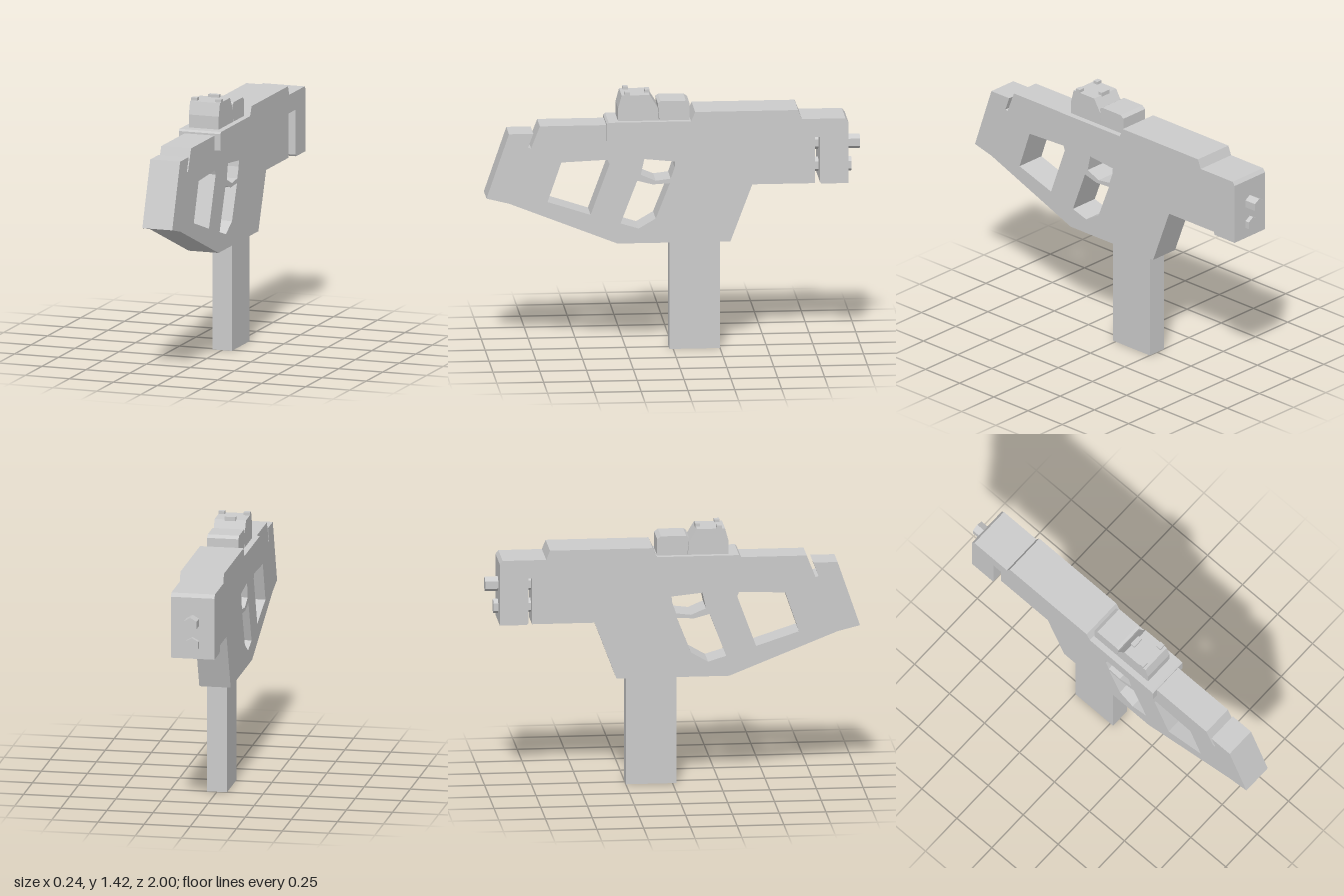
import * as THREE from 'three';

const material = new THREE.MeshStandardMaterial({ color: 0xcccccc, flatShading: true });

const toVectors = (points) => points.map(([z, y]) => new THREE.Vector2(z, y));

// Side profile given as [z, y] points, extruded symmetrically across x
function plate(name, halfWidth, outline, holes = []) {
  const shape = new THREE.Shape(toVectors(outline));
  holes.forEach((hole) => shape.holes.push(new THREE.Path(toVectors(hole))));
  const geometry = new THREE.ExtrudeGeometry(shape, { depth: halfWidth * 2, bevelEnabled: false });
  geometry.translate(0, 0, -halfWidth).rotateY(-Math.PI / 2);
  const mesh = new THREE.Mesh(geometry, material);
  mesh.name = name;
  return mesh;
}

function box(name, [w, h, d], [x, y, z]) {
  const mesh = new THREE.Mesh(new THREE.BoxGeometry(w, h, d), material);
  mesh.position.set(x, y, z);
  mesh.name = name;
  return mesh;
}

// Hexagonal rod along z with a corner pointing up
function rod(name, y, zStart, zEnd) {
  const geometry = new THREE.CylinderGeometry(0.04, 0.04, zStart - zEnd, 6);
  geometry.rotateX(Math.PI / 2);
  const mesh = new THREE.Mesh(geometry, material);
  mesh.position.set(0, y, (zStart + zEnd) / 2);
  mesh.name = name;
  return mesh;
}

export function createModel() {
  const model = new THREE.Group();
  model.name = 'compactGun';

  // Main frame with its three side openings
  const stockOpening = [[0.6, 1.04], [0.353, 1.05], [0.343, 1.025], [0.444, 0.75], [0.674, 0.825]];
  const upperTriggerOpening = [
    [0.157, 1.05], [-0.008, 1.033], [-0.005, 1.0], [0.016, 0.94], [0.096, 0.93], [0.176, 0.964],
  ];
  const lowerTriggerOpening = [
    [0.195, 0.932], [0.112, 0.91], [0.02, 0.915], [0.096, 0.723], [0.187, 0.67], [0.284, 0.7],
  ];
  model.add(plate('frame', 0.085, [
    [1, 0.85], [0.88, 1.2], [0.75, 1.2], [0.778, 1.125], [0.762, 1.12], [0.715, 1.24],
    [-0.755, 1.24], [-0.755, 0.9], [-0.42, 0.9], [-0.303, 0.59], [0.3, 0.59], [0.88, 0.82],
  ], [stockOpening, upperTriggerOpening, lowerTriggerOpening]));

  // Wide upper cover that turns down into the end block
  model.add(plate('upperCover', 0.118, [
    [0.36, 1.16], [0.36, 1.25], [0.35, 1.26], [-0.09, 1.26], [-0.112, 1.31], [-0.662, 1.31],
    [-0.682, 1.26], [-0.915, 1.26], [-0.93, 1.24], [-0.93, 0.905], [-0.785, 0.905],
    [-0.778, 0.915], [-0.778, 1.16],
  ]));

  // Magazine
  model.add(box('magazine', [0.11, 0.6, 0.27], [0, 0.3, -0.115]));

  // Hexagonal rods through the end block
  model.add(rod('barrel', 1.107, -0.74, -1));
  model.add(rod('guideRod', 0.985, -0.74, -0.955));

  // Sight blocks
  model.add(plate('frontSightBlock', 0.085, [
    [0.297, 1.25], [0.297, 1.33], [0.278, 1.4], [0.128, 1.4], [0.085, 1.33], [0.078, 1.25],
  ]));
  model.add(plate('rearSightBlock', 0.085, [
    [0.075, 1.25], [0.085, 1.355], [0.07, 1.365], [-0.065, 1.365], [-0.085, 1.35], [-0.085, 1.25],
  ]));

  // Sighting tabs: two at the outer edges, one in the middle
  for (const side of [-1, 1]) {
    model.add(box(side > 0 ? 'leftSightTab' : 'rightSightTab',
      [0.033, 0.025, 0.028], [side * 0.0685, 1.4035, 0.248]));
  }
  model.add(box('middleSightTab', [0.06, 0.025, 0.026], [0, 1.4035, 0.137]));

  return model;
}
